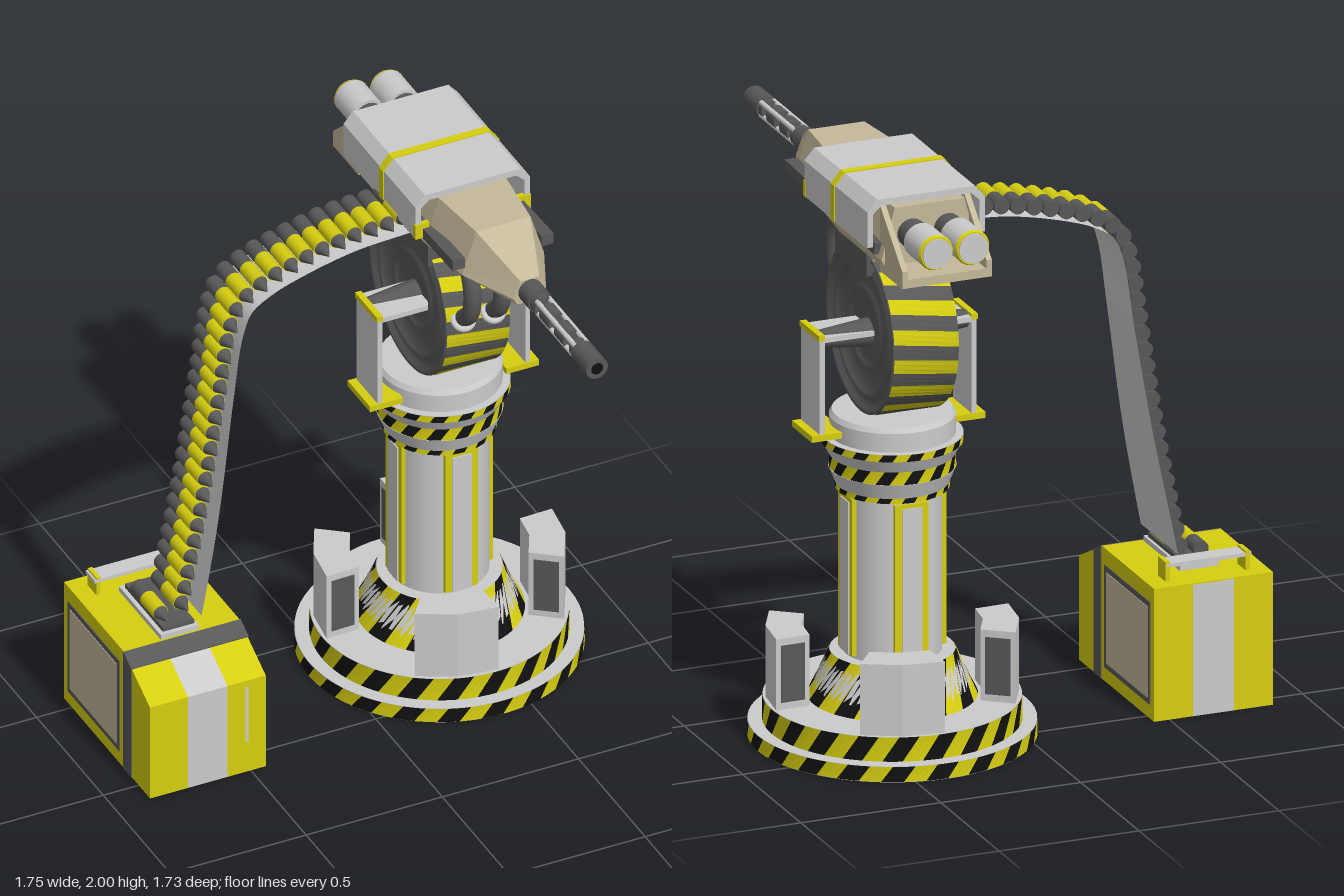
import * as THREE from 'three';

const mat = (color, side = THREE.FrontSide) => new THREE.MeshStandardMaterial({ color, side });
const grey = mat(0xcccccc), yellow = mat(0xd6ce10), dark = mat(0x585858), black = mat(0x111111), beige = mat(0xc4b99a);
const greyThin = mat(0xcccccc, THREE.DoubleSide);

function add(parent, name, geometry, material, x = 0, y = 0, z = 0) {
  const mesh = new THREE.Mesh(geometry, material);
  mesh.name = name;
  mesh.position.set(x, y, z);
  parent.add(mesh);
  return mesh;
}
function group(parent, name, x = 0, y = 0, z = 0) {
  const g = new THREE.Group();
  g.name = name;
  g.position.set(x, y, z);
  parent.add(g);
  return g;
}
// Box given by its limits on each axis
function block(parent, name, material, [x0, x1], [y0, y1], [z0, z1]) {
  return add(parent, name, new THREE.BoxGeometry(x1 - x0, y1 - y0, z1 - z0), material, (x0 + x1) / 2, (y0 + y1) / 2, (z0 + z1) / 2);
}
// Upright cylinder or frustum from y0 to y1
function drum(parent, name, material, r0, r1, y0, y1, sides = 40) {
  return add(parent, name, new THREE.CylinderGeometry(r1, r0, y1 - y0, sides), material, 0, (y0 + y1) / 2, 0);
}
// Cylinder lying along z
function rod(parent, name, material, r, z0, z1, x, y, rEnd = r) {
  const g = new THREE.CylinderGeometry(rEnd, r, z1 - z0, 18).rotateX(Math.PI / 2);
  return add(parent, name, g, material, x, y, (z0 + z1) / 2);
}
// Side profile of [z, y] points, extruded from x0 to x1
function slab(parent, name, material, pts, x0, x1) {
  const shape = new THREE.Shape(pts.map(([z, y]) => new THREE.Vector2(-z, y)));
  const g = new THREE.ExtrudeGeometry(shape, { depth: x1 - x0, bevelEnabled: false }).rotateY(Math.PI / 2);
  return add(parent, name, g, material, x0, 0, 0);
}
// Slanted two-coloured stripes around a frustum
function stripes(parent, name, r0, r1, y0, y1, pairs, twist, second = black) {
  const g = group(parent, name), step = Math.PI / pairs, sub = 3;
  [yellow, second].forEach((m, k) => {
    const pos = [];
    const pt = (a, top) => {
      const r = top ? r1 : r0, t = a + (top ? twist : 0);
      return [r * Math.sin(t), top ? y1 : y0, r * Math.cos(t)];
    };
    for (let i = 0; i < pairs; i++) for (let j = 0; j < sub; j++) {
      const a = (2 * i + k + j / sub) * step, b = a + step / sub;
      pos.push(...pt(a, 0), ...pt(b, 0), ...pt(b, 1), ...pt(a, 0), ...pt(b, 1), ...pt(a, 1));
    }
    const geo = new THREE.BufferGeometry();
    geo.setAttribute('position', new THREE.Float32BufferAttribute(pos, 3));
    geo.computeVertexNormals();
    add(g, name + (k ? 'Dark' : 'Yellow'), geo, m);
  });
  return g;
}
// Loft through six-sided sections: [z, bottomHalf, bottomY, midHalf, midY, topHalf, topY]
function loft(sections) {
  const rings = sections.map(([z, b, by, m, my, t, ty]) =>
    [[-b, by, z], [b, by, z], [m, my, z], [t, ty, z], [-t, ty, z], [-m, my, z]]);
  const pos = [];
  const tri = (a, b, c) => pos.push(...a, ...b, ...c);
  for (let i = 0; i + 1 < rings.length; i++) for (let j = 0; j < 6; j++) {
    const A = rings[i], B = rings[i + 1], n = (j + 1) % 6;
    tri(A[j], B[j], B[n]);
    tri(A[j], B[n], A[n]);
  }
  const F = rings[0], E = rings[rings.length - 1];
  for (let j = 1; j < 5; j++) {
    tri(F[0], F[j], F[j + 1]);
    tri(E[0], E[j + 1], E[j]);
  }
  const geo = new THREE.BufferGeometry();
  geo.setAttribute('position', new THREE.Float32BufferAttribute(pos, 3));
  geo.computeVertexNormals();
  return geo;
}

function buildPedestal(root) {
  const p = group(root, 'pedestal', 0.39, 0, -0.32);
  // Stepped foot
  drum(p, 'footDisc', grey, 0.478, 0.478, 0, 0.055, 60);
  stripes(p, 'footStripes', 0.48, 0.48, 0.002, 0.055, 20, 0.08);
  drum(p, 'footStep', grey, 0.428, 0.428, 0.05, 0.14, 60);
  stripes(p, 'stepStripes', 0.43, 0.43, 0.055, 0.14, 20, 0.13);
  drum(p, 'skirt', grey, 0.28, 0.208, 0.14, 0.3);
  stripes(p, 'skirtStripes', 0.283, 0.21, 0.14, 0.302, 11, 0.32);
  // Curved guard blocks around the foot
  for (let i = 0; i < 4; i++) {
    const h = 0.34, shape = new THREE.Shape(), pts = [];
    for (let j = 0; j <= 2; j++) pts.push([0.42, -h + h * j]);
    for (let j = 2; j >= 0; j--) pts.push([0.3, -h + h * j]);
    shape.setFromPoints(pts.map(([r, a]) => new THREE.Vector2(r * Math.sin(a), -r * Math.cos(a))));
    const b = group(p, 'guardBlock');
    b.rotation.y = -0.31 + i * Math.PI / 2;
    add(b, 'guardBody', new THREE.ExtrudeGeometry(shape, { depth: 0.25, bevelEnabled: false }).rotateX(-Math.PI / 2), grey, 0, 0.14, 0);
    for (const s of [-1, 1]) {
      const end = add(b, 'guardEndPanel', new THREE.BoxGeometry(0.006, 0.2, 0.085), dark, s * 0.36 * Math.sin(h), 0.265, 0.36 * Math.cos(h));
      end.rotation.y = s * h;
    }
  }
  // Column with four framed panels
  drum(p, 'column', grey, 0.165, 0.165, 0.29, 0.88);
  for (let i = 0; i < 4; i++) {
    const f = group(p, 'columnPanel');
    f.rotation.y = i * Math.PI / 2;
    block(f, 'panelFrame', yellow, [-0.06, 0.06], [0.31, 0.86], [0.14, 0.168]);
    block(f, 'panelFace', grey, [-0.036, 0.036], [0.31, 0.845], [0.14, 0.173]);
  }
  // Flared collar
  drum(p, 'collarLower', grey, 0.188, 0.188, 0.87, 0.89);
  stripes(p, 'collarLowerStripes', 0.19, 0.19, 0.872, 0.89, 14, 0.06);
  drum(p, 'collarFlare', grey, 0.19, 0.212, 0.89, 0.945);
  drum(p, 'collarCore', grey, 0.208, 0.208, 0.94, 0.99);
  stripes(p, 'collarMiddleStripes', 0.21, 0.21, 0.942, 0.99, 14, 0.16);
  drum(p, 'collarTopFlare', grey, 0.21, 0.235, 0.99, 1.036);
  drum(p, 'collarRim', grey, 0.235, 0.235, 1.035, 1.06);
  stripes(p, 'collarRimStripes', 0.238, 0.238, 1.036, 1.06, 16, 0.07);
  drum(p, 'turntable', grey, 0.21, 0.21, 1.06, 1.125);
  drum(p, 'turntableBevel', grey, 0.21, 0.2, 1.125, 1.142);
  // Elevation wheel with stepped faces and striped tread
  const w = group(p, 'elevationWheel', 0, 1.44, 0);
  w.rotation.z = -Math.PI / 2;
  const half = [[0.292, 0.115], [0.275, 0.115], [0.268, 0.1], [0.245, 0.1], [0.238, 0.11], [0.215, 0.11],
    [0.208, 0.09], [0.15, 0.09], [0.145, 0.1], [0.12, 0.1], [0.115, 0.085], [0, 0.085]];
  const profile = [...half.map(([r, a]) => [r, -a]).reverse(), ...half];
  const disc = new THREE.LatheGeometry(profile.map(([r, a]) => new THREE.Vector2(r, a)), 48);
  add(w, 'wheelDisc', disc, dark);
  stripes(w, 'wheelTread', 0.295, 0.295, -0.115, 0.115, 18, 0.12, dark);
  block(p, 'wheelNeck', dark, [-0.13, 0.13], [1.65, 1.75], [-0.09, 0.18]);
  // Side brackets
  for (const s of [-1, 1]) {
    const b = group(p, s > 0 ? 'leftBracket' : 'rightBracket');
    const span = (a, c) => s > 0 ? [a, c] : [-c, -a];
    block(b, 'bracketFoot', yellow, span(0.19, 0.31), [1.08, 1.102], [-0.055, 0.115]);
    block(b, 'bracketPlate', grey, span(0.262, 0.28), [1.09, 1.432], [-0.05, 0.11]);
    block(b, 'bracketArm', grey, span(0.08, 0.275), [1.422, 1.44], [-0.05, 0.11]);
    block(b, 'bracketEdge', yellow, span(0.262, 0.284), [1.43, 1.45], [-0.052, 0.112]);
    const axle = add(b, 'axle', new THREE.CylinderGeometry(0.03, 0.05, 0.19, 20), dark, s * 0.17, 1.42, 0);
    axle.rotation.z = -s * Math.PI / 2;
    // Feed hoses
    const path = new THREE.CatmullRomCurve3([[1.72, 0.2], [1.74, 0.27], [1.71, 0.33], [1.63, 0.36], [1.54, 0.345], [1.48, 0.27]]
      .map(([y, z]) => new THREE.Vector3(s * 0.055, y, z)));
    add(p, 'hose', new THREE.TubeGeometry(path, 24, 0.03, 12), dark);
    const cuff = add(p, 'hoseCuff', new THREE.TorusGeometry(0.036, 0.011, 8, 20), grey, s * 0.055, 1.49, 0.292);
    cuff.rotation.x = -0.7;
  }
}

function buildGun(root) {
  const g = group(root, 'gun', 0.39, 0, 0);
  add(g, 'gunBody', loft([
    [0.36, 0.045, 1.785, 0.06, 1.81, 0.035, 1.875],
    [0.16, 0.11, 1.775, 0.15, 1.81, 0.1, 1.97],
    [-0.07, 0.14, 1.765, 0.172, 1.8, 0.125, 1.97],
    [-0.2, 0.14, 1.74, 0.172, 1.79, 0.125, 1.97],
    [-0.64, 0.14, 1.74, 0.172, 1.79, 0.125, 1.97]]), beige);
  // Armoured cover with a yellow band
  const arch = (grow) => {
    const o = 0.21 + grow, t = 1.995 + grow;
    const s = [[-o, 1.83], [-o, 1.955], [-o + 0.035, t], [o - 0.035, t], [o, 1.955], [o, 1.83],
      [0.19, 1.83], [0.19, 1.945], [0.16, 1.972], [-0.16, 1.972], [-0.19, 1.945], [-0.19, 1.83]];
    return new THREE.Shape(s.map(([x, y]) => new THREE.Vector2(x, y)));
  };
  const cover = (d) => ({ depth: d, bevelEnabled: false });
  add(g, 'cover', new THREE.ExtrudeGeometry(arch(0), cover(0.54)), grey, 0, 0, -0.61);
  add(g, 'coverBand', new THREE.ExtrudeGeometry(arch(0.004), cover(0.03)), yellow, 0, 0, -0.335);
  for (const s of [-1, 1]) {
    block(g, 'coverTab', yellow, s > 0 ? [0.16, 0.212] : [-0.212, -0.16], [1.83, 1.885], [-0.085, -0.065]);
    const rail = block(g, 'sideRail', dark, s > 0 ? [0.14, 0.185] : [-0.185, -0.14], [1.82, 1.86], [-0.61, 0.16]);
    rail.rotation.x = -0.045;
    // Tail cheeks and rear canisters
    slab(g, 'tailCheek', beige, [[-0.6, 1.97], [-0.79, 1.8], [-0.79, 1.74], [-0.6, 1.74]], s > 0 ? 0.14 : -0.16, s > 0 ? 0.16 : -0.14);
    const x = s * 0.065;
    rod(g, 'canisterNeck', dark, 0.05, -0.73, -0.62, x, 1.875);
    rod(g, 'canister', grey, 0.061, -0.85, -0.72, x, 1.875);
    rod(g, 'canisterRim', yellow, 0.057, -0.858, -0.848, x, 1.875, 0.062);
    rod(g, 'canisterCap', grey, 0.052, -0.865, -0.855, x, 1.875);
  }
  block(g, 'tailFloor', beige, [-0.155, 0.155], [1.74, 1.77], [-0.79, -0.63]);
  // Barrel
  const y = 1.83;
  rod(g, 'barrelSleeve', dark, 0.043, 0.34, 0.435, 0, y);
  rod(g, 'barrelSleeveTip', dark, 0.037, 0.43, 0.47, 0, y);
  for (let i = 0; i < 4; i++) {
    const a = Math.PI / 4 + i * Math.PI / 2;
    rod(g, 'barrelRod', grey, 0.009, 0.46, 0.75, 0.031 * Math.cos(a), y + 0.031 * Math.sin(a));
  }
  for (const z of [0.5, 0.61]) rod(g, 'barrelClamp', dark, 0.035, z, z + 0.07, 0, y);
  rod(g, 'muzzleBase', dark, 0.034, 0.72, 0.76, 0, y);
  rod(g, 'muzzle', dark, 0.04, 0.75, 0.865, 0, y);
  rod(g, 'bore', black, 0.022, 0.85, 0.8655, 0, y);
}

function buildBelt(root) {
  const b = group(root, 'ammunitionBelt');
  const path = new THREE.CatmullRomCurve3([[0.2, 1.825], [0, 1.812], [-0.2, 1.768], [-0.32, 1.725], [-0.4, 1.67], [-0.438, 1.58],
    [-0.477, 1.33], [-0.535, 0.95], [-0.615, 0.53]].map(([x, y]) => new THREE.Vector3(x, y, 0)));
  const n = 30, spots = path.getSpacedPoints(n);
  spots.push(new THREE.Vector3(-0.69, 0.51, 0));
  for (const { x, y } of spots) {
    rod(b, 'roundBase', dark, 0.028, -0.375, -0.3, x, y);
    rod(b, 'roundCase', yellow, 0.028, -0.3, -0.205, x, y);
    rod(b, 'roundTip', dark, 0.026, -0.205, -0.15, x, y, 0.001);
  }
  // Backing strip, widening towards the box
  const strip = new THREE.PlaneGeometry(1, 1, 1, 60), pos = strip.attributes.position;
  for (let i = 0; i < pos.count; i++) {
    const u = 0.5 - pos.getY(i), side = pos.getX(i) * 2;
    const p = path.getPointAt(u), t = path.getTangentAt(u);
    const half = 0.115 + 0.045 * THREE.MathUtils.smoothstep(u, 0.45, 1);
    pos.setXYZ(i, p.x - t.y * 0.031, p.y + t.x * 0.031, -0.272 + side * half);
  }
  strip.computeVertexNormals();
  add(b, 'beltBacking', strip, greyThin);
}

function buildBox(root) {
  const b = group(root, 'ammunitionBox');
  const side = [[0.085, 0], [0.085, 0.365], [-0.11, 0.465], [-0.56, 0.465], [-0.56, 0]];
  slab(b, 'boxRight', yellow, side, -0.87, -0.73);
  slab(b, 'boxMiddle', grey, side, -0.73, -0.585);
  slab(b, 'boxLeft', yellow, side, -0.585, -0.445);
  slab(b, 'boxStrap', dark, [[-0.05, 0], [-0.05, 0.438], [-0.11, 0.469], [-0.11, 0]], -0.873, -0.442);
  block(b, 'boxLid', yellow, [-0.87, -0.445], [0.462, 0.467], [-0.56, -0.112]);
  // Framed panels on both flanks
  for (const [x, s] of [[-0.445, 1], [-0.87, -1]]) {
    block(b, 'panelFrame', dark, [x - 0.003, x + 0.003], [0.05, 0.41], [-0.53, -0.14]);
    block(b, 'panelFace', beige, [x - 0.005, x + 0.005], [0.07, 0.39], [-0.51, -0.16]);
  }
  block(b, 'gauge', grey, [-0.52, -0.51], [0.12, 0.34], [0.08, 0.087]);
  // Belt throat and carrying handle
  block(b, 'throat', grey, [-0.73, -0.59], [0.46, 0.485], [-0.435, -0.12]);
  block(b, 'throatLip', dark, [-0.715, -0.6], [0.48, 0.5], [-0.42, -0.135]);
  block(b, 'handleBar', grey, [-0.815, -0.51], [0.515, 0.528], [-0.51, -0.445]);
  for (const x of [-0.8, -0.515]) block(b, 'handlePost', yellow, [x - 0.008, x + 0.008], [0.46, 0.535], [-0.51, -0.445]);
}

export function createModel() {
  const root = new THREE.Group();
  root.name = 'sentryTurret';
  buildPedestal(root);
  buildGun(root);
  buildBelt(root);
  buildBox(root);
  return root;
}
